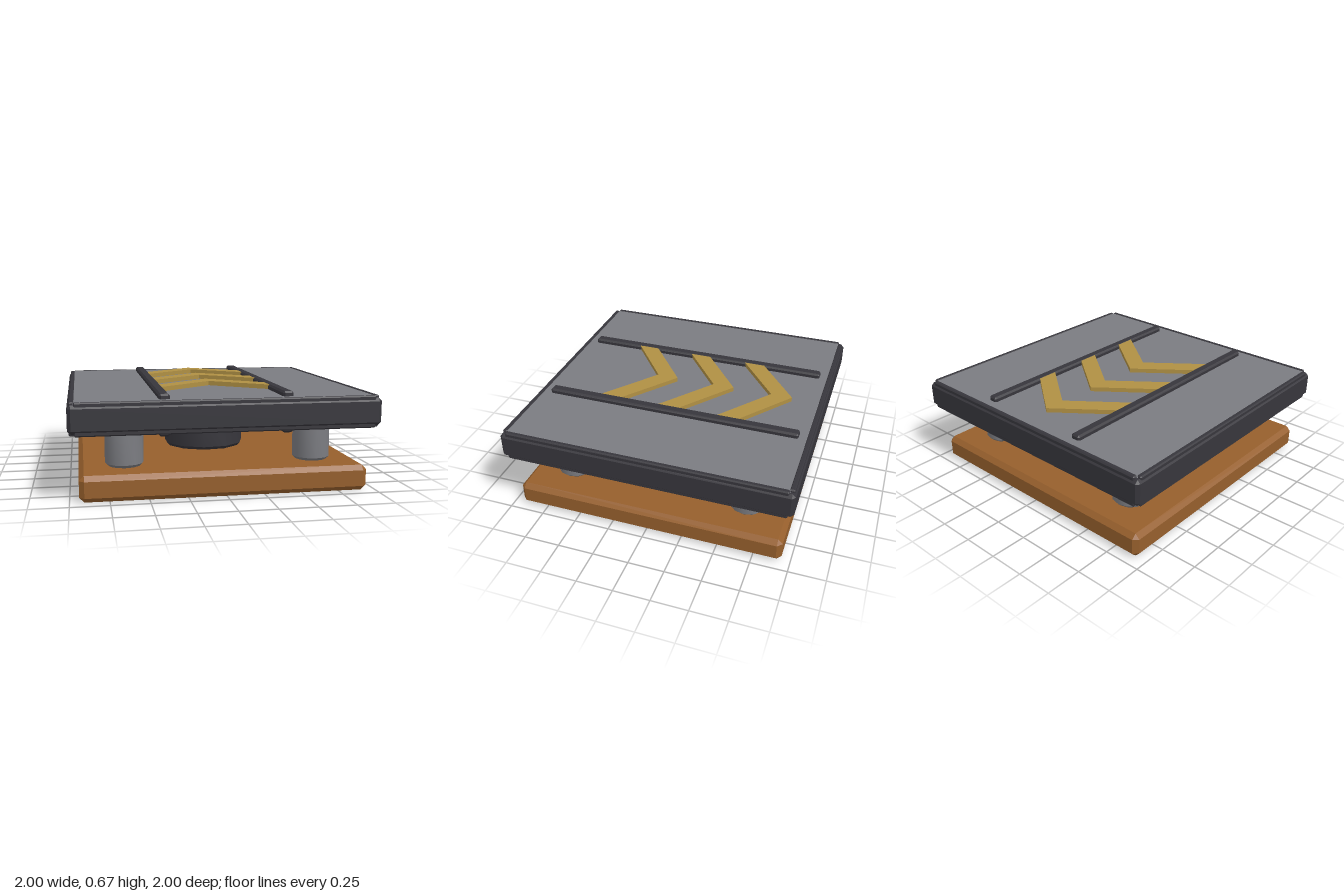
import * as THREE from 'three';
import { toCreasedNormals } from 'three/addons/utils/BufferGeometryUtils.js';
import { ConvexGeometry } from 'three/addons/geometries/ConvexGeometry.js';

const material = (name, color) => {
  const m = new THREE.MeshStandardMaterial({ color });
  m.name = name;
  return m;
};

// Box with every edge and corner cut by c
function chamferBox(w, h, d, c) {
  const [x, y, z] = [w / 2, h / 2, d / 2];
  const points = [];
  for (const sx of [-1, 1]) for (const sy of [-1, 1]) for (const sz of [-1, 1]) {
    points.push(new THREE.Vector3(sx * x, sy * (y - c), sz * (z - c)));
    points.push(new THREE.Vector3(sx * (x - c), sy * y, sz * (z - c)));
    points.push(new THREE.Vector3(sx * (x - c), sy * (y - c), sz * z));
  }
  return new ConvexGeometry(points);
}

// Upright cylinder with cut rims
function chamferCylinder(r, y0, y1, c, sides) {
  const profile = [[0, y0], [r - c, y0], [r, y0 + c], [r, y1 - c], [r - c, y1], [0, y1]]
    .map(([x, y]) => new THREE.Vector2(x, y));
  return toCreasedNormals(new THREE.LatheGeometry(profile, sides, Math.PI / 2), 0.7);
}

export function createModel() {
  const model = new THREE.Group();
  model.name = 'launchPad';
  const wood = material('brown', 0x965f2c);
  const steel = material('grey', 0x7b7c81);
  const dark = material('charcoal', 0x37363c);
  const gold = material('gold', 0xb09044);

  const add = (name, geometry, mat, x = 0, y = 0, z = 0) => {
    const mesh = new THREE.Mesh(geometry, mat);
    mesh.name = name;
    mesh.position.set(x, y, z);
    model.add(mesh);
    return mesh;
  };

  // Base and supports
  add('base', chamferBox(1.88, 0.17, 1.88, 0.032), wood, 0, 0.085, 0);
  add('centralPiston', chamferCylinder(0.296, 0.17, 0.434, 0.022, 11), dark);
  const legGeometry = chamferCylinder(0.128, 0.17, 0.47, 0.02, 12);
  for (const x of [-0.64, 0.64]) for (const z of [-0.64, 0.64]) add('leg', legGeometry, steel, x, 0, z);

  // Platform: dark outer frame around a grey plate that shows above and below
  add('frame', chamferBox(2, 0.18, 2, 0.022), dark, 0, 0.535, 0);
  add('plate', chamferBox(1.964, 0.204, 1.964, 0.025), steel, 0, 0.535, 0);

  // Raised rim bars on all four edges
  const rimGeometry = chamferBox(1.92, 0.21, 0.036, 0.008);
  for (let i = 0; i < 4; i++) {
    const a = i * Math.PI / 2;
    add('rimBar', rimGeometry, dark, 0.972 * Math.sin(a), 0.535, 0.972 * Math.cos(a)).rotation.y = a;
  }

  // Long rails standing proud of both faces
  const railGeometry = chamferBox(0.07, 0.27, 1.804, 0.012);
  for (const x of [-0.4, 0.4]) add('rail', railGeometry, dark, x, 0.535, 0);

  // Three chevrons pointing to the back
  const chevron = new THREE.Shape([
    [0, 0.77], [-0.375, 0.48], [-0.375, 0.33], [0, 0.62], [0.375, 0.33], [0.375, 0.48],
  ].map(([x, y]) => new THREE.Vector2(x, y)));
  const chevronGeometry = new THREE.ExtrudeGeometry(chevron, { depth: 0.036, bevelEnabled: false });
  chevronGeometry.rotateX(-Math.PI / 2);
  for (let i = 0; i < 3; i++) add('chevron', chevronGeometry, gold, 0, 0.632, i * 0.428);

  return model;
}
